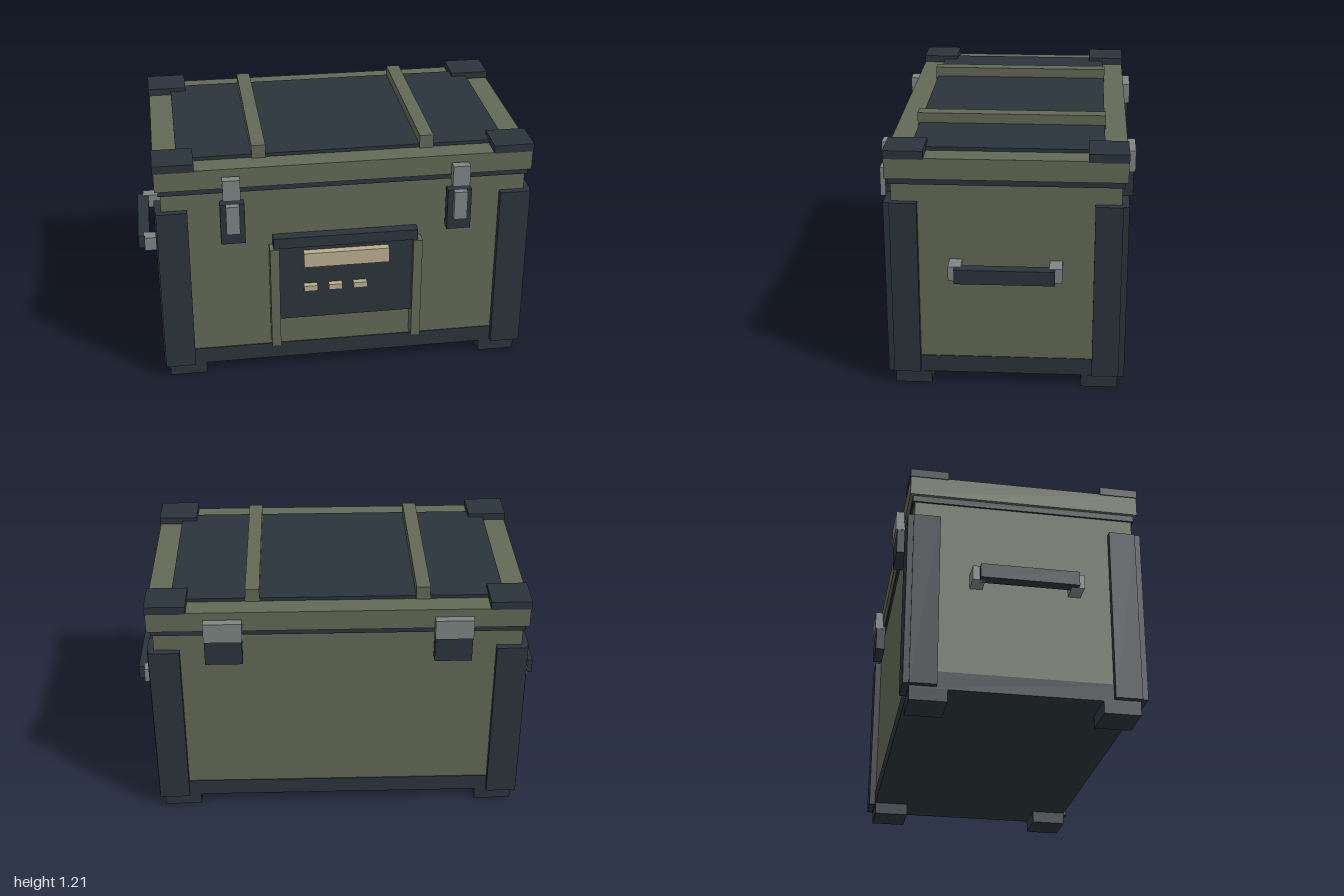
import * as THREE from 'three';

const paint = (color) => new THREE.MeshStandardMaterial({ color });

export function createModel() {
  const crate = new THREE.Group();
  crate.name = 'storageCrate';
  const green = paint(0x626955);
  const dark = paint(0x2b343b);
  const steel = paint(0x7d8583);
  const tan = paint(0xb9ae8e);

  // Box given by its extents on each axis
  function box(name, material, [x0, x1], [y0, y1], [z0, z1]) {
    const mesh = new THREE.Mesh(new THREE.BoxGeometry(x1 - x0, y1 - y0, z1 - z0), material);
    mesh.position.set((x0 + x1) / 2, (y0 + y1) / 2, (z0 + z1) / 2);
    mesh.name = name;
    crate.add(mesh);
  }

  // The same box on the left and right sides
  function pair(name, material, [x0, x1], y, z) {
    box(name + 'Left', material, [x0, x1], y, z);
    box(name + 'Right', material, [-x1, -x0], y, z);
  }

  // Four corner boxes, mirrored about the body's middle plane in z
  const midZ = -0.015;
  function corners(name, material, x, y, [z0, z1]) {
    pair(name + 'Front', material, x, y, [midZ + z0, midZ + z1]);
    pair(name + 'Back', material, x, y, [midZ - z1, midZ - z0]);
  }

  // Body, base band and feet
  box('body', green, [-0.877, 0.877], [0.1, 1.02], [-0.54, 0.51]);
  box('baseBand', dark, [-0.881, 0.881], [0.06, 0.145], [-0.544, 0.514]);
  corners('foot', dark, [0.7, 0.883], [0, 0.06], [0.355, 0.528]);

  // Corner guards: one plate on the face, one on the side
  corners('faceGuard', dark, [0.755, 0.903], [0.07, 0.93], [0.52, 0.558]);
  corners('sideGuard', dark, [0.87, 0.909], [0.07, 0.93], [0.405, 0.531]);

  // Lid with seal, top panel, ribs and corner caps
  box('lidSeal', dark, [-0.887, 0.887], [1.015, 1.047], [-0.55, 0.52]);
  box('lid', green, [-0.902, 0.902], [1.045, 1.145], [-0.565, 0.535]);
  box('lidPanel', dark, [-0.79, 0.79], [1.14, 1.162], [-0.46, 0.425]);
  pair('lidRib', green, [0.37, 0.437], [1.145, 1.21], [-0.465, 0.435]);
  corners('lidCap', dark, [0.713, 0.906], [1.14, 1.18], [0.37, 0.552]);

  // Front latches
  pair('latchPlate', dark, [0.487, 0.603], [0.77, 0.98], [0.53, 0.577]);
  pair('latchLever', steel, [0.513, 0.577], [0.835, 0.98], [0.57, 0.605]);
  pair('latchCatch', steel, [0.505, 0.588], [1.005, 1.11], [0.545, 0.59]);

  // Rear hinges
  pair('hingeLeaf', dark, [0.455, 0.633], [0.88, 1.02], [-0.597, -0.548]);
  pair('hingeKnuckle', steel, [0.453, 0.635], [1.005, 1.105], [-0.605, -0.56]);

  // Front panel with top bar, side rails, label and tabs
  box('frontPanel', dark, [-0.333, 0.333], [0.31, 0.73], [0.505, 0.55]);
  box('panelTopBar', dark, [-0.354, 0.35], [0.715, 0.77], [0.505, 0.563]);
  pair('panelRail', green, [0.328, 0.373], [0.165, 0.715], [0.505, 0.574]);
  box('panelLabel', tan, [-0.21, 0.207], [0.615, 0.692], [0.545, 0.587]);
  for (let i = 0; i < 3; i++) {
    const x = -0.21 + i * 0.122;
    box('panelTab' + (i + 1), tan, [x, x + 0.067], [0.476, 0.505], [0.545, 0.58]);
  }

  // Side handles on two brackets each
  pair('handleBar', dark, [0.943, 1], [0.577, 0.646], [-0.243, 0.217]);
  corners('handleBracket', steel, [0.87, 0.97], [0.577, 0.648], [0.202, 0.261]);

  return crate;
}
